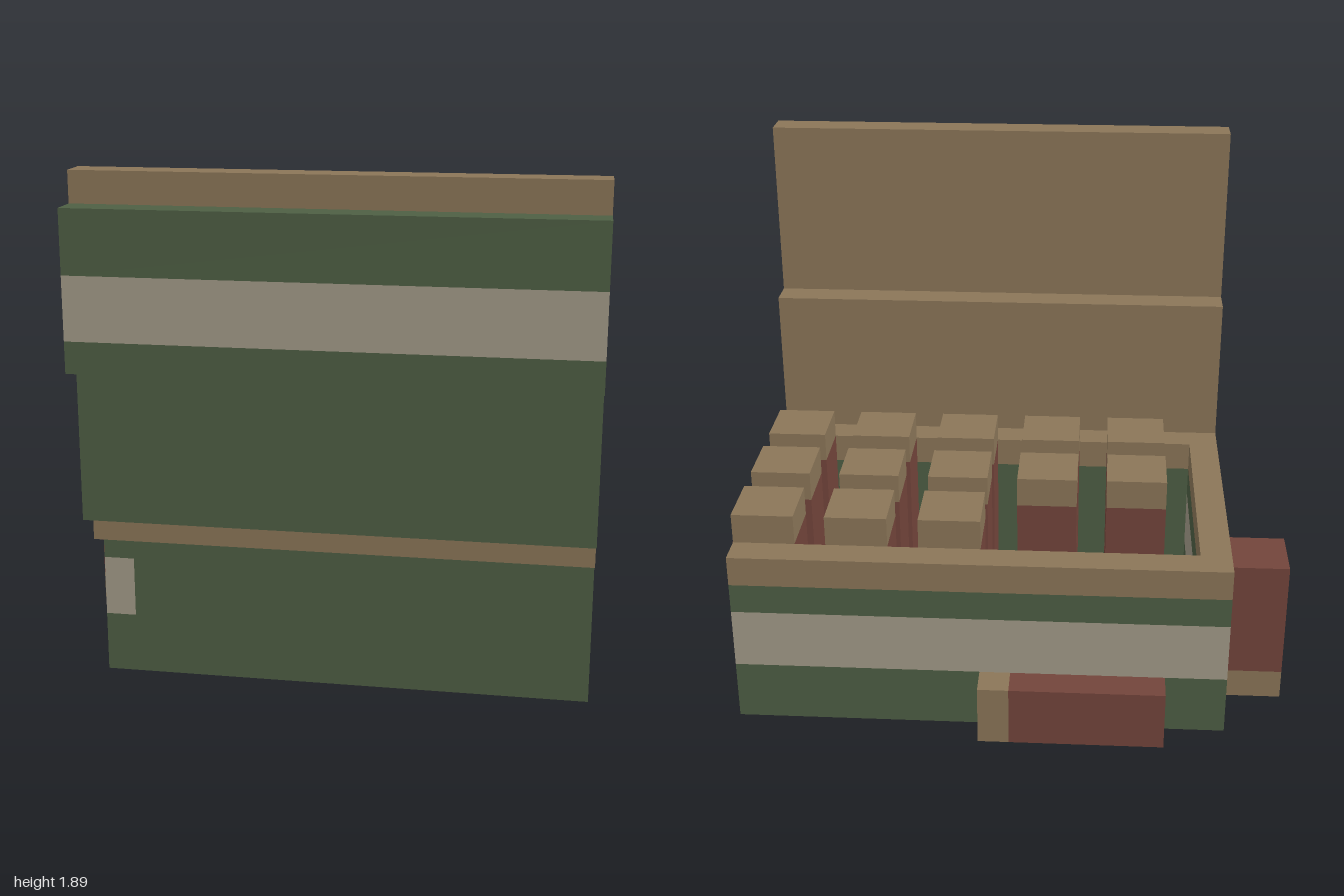
import * as THREE from 'three';

const U = 1 / 9; // one block

function material(name, color) {
  const m = new THREE.MeshStandardMaterial({ color });
  m.name = name;
  return m;
}

export function createModel() {
  const green = material('green card', 0x4e5f44);
  const tan = material('tan card', 0x8b7658);
  const cream = material('cream stripe', 0xa39b89);
  const red = material('red wax', 0x73453b);
  const brown = material('dark floor', 0x554932);

  const model = new THREE.Group();
  model.name = 'crayonBox';

  // Box spanning two corners, measured in blocks
  function block(parent, name, mat, [x0, x1], [y0, y1], [z0, z1]) {
    const geo = new THREE.BoxGeometry((x1 - x0) * U, (y1 - y0) * U, (z1 - z0) * U);
    const mesh = new THREE.Mesh(geo, mat);
    mesh.name = name;
    mesh.position.set((x0 + x1) * U / 2, (y0 + y1) * U / 2, (z0 + z1) * U / 2);
    parent.add(mesh);
  }
  function group(name) {
    const g = new THREE.Group();
    g.name = name;
    model.add(g);
    return g;
  }

  // Open carton: floor, four walls and the tan rim on top of them
  const carton = group('carton');
  block(carton, 'floor', brown, [-6, 8], [0, 1], [-5, 3]);
  const walls = [
    { name: 'frontWall', x: [-6, 9], z: [3, 4], striped: false },
    { name: 'leftWall', x: [8, 9], z: [-5, 3], striped: false },
    { name: 'rightWall', x: [-7, -6], z: [-5, 4], striped: true },
    { name: 'backWall', x: [-7, 9], z: [-6, -5], striped: true },
  ];
  for (const { name, x, z, striped } of walls) {
    if (striped) {
      block(carton, name + 'Lower', green, x, [0, 2], z);
      block(carton, name + 'Stripe', cream, x, [2, 4], z);
      block(carton, name + 'Upper', green, x, [4, 5], z);
    } else {
      block(carton, name, green, x, [0, 5], z);
    }
    block(carton, name + 'Rim', tan, x, [5, 6], z);
  }

  // Raised lid in two stepped panels, tan inside and green outside
  const lid = group('lid');
  const W = [-7, 9];
  block(lid, 'lowerLining', tan, W, [5, 11], [4, 5]);
  block(lid, 'hinge', tan, W, [5, 6], [5, 5.01]);
  block(lid, 'lowerCover', green, W, [6, 11], [5, 6]);
  block(lid, 'upperLining', tan, W, [11, 17], [5, 6]);
  block(lid, 'upperCoverBottom', green, W, [11, 12], [6, 7]);
  block(lid, 'upperCoverStripe', cream, W, [12, 14], [6, 7]);
  block(lid, 'upperCoverTop', green, W, [14, 16], [6, 7]);

  // Crayons in rows; two are missing from the back row
  const crayons = group('crayons');
  for (const z of [-5, -2, 1]) {
    for (const x of [-5, -2, 1, 4, 7]) {
      if (z === -5 && x < 1) continue;
      // The last column shows through the side wall
      const end = x === 7 ? 9.02 : x + 2;
      block(crayons, 'crayonBody', red, [x, end], [1, 6], [z, z + 2]);
      block(crayons, 'crayonTip', tan, [x, x + 2], [6, 7], [z, z + 2]);
    }
  }

  // Two loose crayons: one upside down at the side, one lying behind
  const loose = group('looseCrayons');
  block(loose, 'standingCrayonTip', tan, [-9, -7], [0, 1], [-4, -2]);
  block(loose, 'standingCrayonBody', red, [-9, -7], [1, 5], [-4, -2]);
  block(loose, 'lyingCrayonBody', red, [-5, 0], [0, 2], [-7, -6]);
  block(loose, 'lyingCrayonTip', tan, [0, 1], [0, 2], [-7, -6]);

  return model;
}
